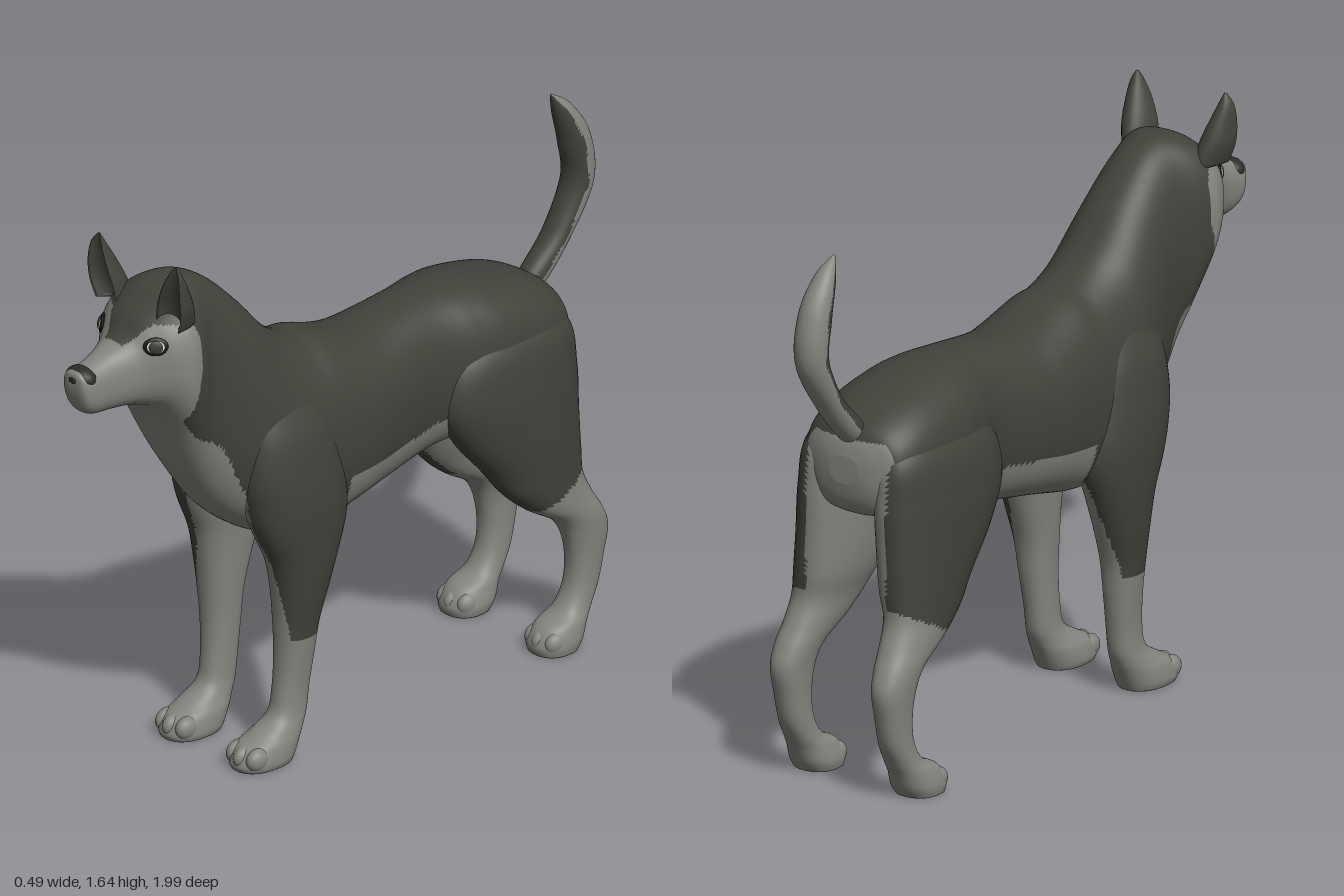
import * as THREE from 'three';

const paint = (name, color) => Object.assign(new THREE.MeshStandardMaterial({ color }), { name });
const DARK = 0, LIGHT = 1;

// Catmull-Rom sample of a table of section rows, u in 0..1
function sample(rows, u) {
  const f = u * (rows.length - 1), i = Math.min(Math.floor(f), rows.length - 2), t = f - i;
  const at = (k) => rows[Math.max(0, Math.min(rows.length - 1, k))];
  const [a, b, c, d] = [at(i - 1), at(i), at(i + 1), at(i + 2)];
  return b.map((_, k) => 0.5 * (2 * b[k] + (c[k] - a[k]) * t
    + (2 * a[k] - 5 * b[k] + 4 * c[k] - d[k]) * t * t
    + (3 * b[k] - a[k] - 3 * c[k] + d[k]) * t * t * t));
}

const soft = (v, e) => Math.sign(v) * Math.pow(Math.abs(v), e);

// Closed smooth skin through the sections; colourOf(x, y, z) picks the material of each face
function loft(name, rows, along, around, point, colourOf, materials) {
  const pos = [], faces = [];
  for (let i = 0; i <= along; i++) {
    const row = sample(rows, i / along);
    for (let j = 0; j < around; j++) {
      const a = (j / around) * Math.PI * 2;
      pos.push(...point(row, Math.cos(a), Math.sin(a)));
    }
  }
  const id = (i, j) => i * around + (j % around);
  for (let i = 0; i < along; i++) for (let j = 0; j < around; j++) {
    faces.push([id(i, j), id(i, j + 1), id(i + 1, j)], [id(i, j + 1), id(i + 1, j + 1), id(i + 1, j)]);
  }
  // end caps
  for (const i of [0, along]) {
    const c = [0, 0, 0], n = pos.length / 3;
    for (let j = 0; j < around; j++) for (let k = 0; k < 3; k++) c[k] += pos[id(i, j) * 3 + k] / around;
    pos.push(...c);
    for (let j = 0; j < around; j++) faces.push(i ? [id(i, j), id(i, j + 1), n] : [id(i, j + 1), id(i, j), n]);
  }
  const v = (k) => new THREE.Vector3().fromArray(pos, k * 3);
  let volume = 0;
  const sorted = materials.map(() => []);
  for (const f of faces) {
    const [a, b, c] = f.map(v);
    volume += a.dot(b.clone().cross(c));
    const m = a.add(b).add(c).divideScalar(3);
    sorted[colourOf(Math.abs(m.x), m.y, m.z)].push(f);
  }
  // outward winding whichever way the sections run
  if (volume < 0) faces.forEach((f) => f.reverse());
  const g = new THREE.BufferGeometry();
  g.setAttribute('position', new THREE.Float32BufferAttribute(pos, 3));
  g.setIndex(sorted.flat(2));
  let start = 0;
  sorted.forEach((list, k) => { g.addGroup(start, list.length * 3, k); start += list.length * 3; });
  g.computeVertexNormals();
  const mesh = new THREE.Mesh(g, materials);
  mesh.name = name;
  return mesh;
}

// Body, neck and head: z, bottom, top, half width, taper towards the top
const BODY = [
  [-0.80, 0.90, 0.98, 0.05, 0], [-0.785, 0.84, 1.03, 0.11, 0], [-0.75, 0.80, 1.075, 0.17, 0],
  [-0.65, 0.78, 1.125, 0.2, 0], [-0.5, 0.74, 1.16, 0.205, 0], [-0.4, 0.71, 1.17, 0.19, 0],
  [-0.28, 0.695, 1.165, 0.165, 0], [-0.1, 0.665, 1.145, 0.185, 0], [0, 0.645, 1.155, 0.198, 0],
  [0.12, 0.62, 1.195, 0.2, 0.05], [0.2, 0.62, 1.21, 0.2, 0.1], [0.3, 0.64, 1.275, 0.195, 0.18],
  [0.4, 0.685, 1.385, 0.18, 0.18], [0.5, 0.77, 1.48, 0.155, 0.08], [0.58, 0.875, 1.525, 0.148, 0],
  [0.64, 0.975, 1.53, 0.165, -0.05], [0.69, 1.09, 1.515, 0.176, 0], [0.74, 1.165, 1.48, 0.155, 0],
  [0.78, 1.185, 1.45, 0.12, 0], [0.82, 1.195, 1.405, 0.088, 0], [0.88, 1.2, 1.375, 0.063, 0],
  [0.94, 1.205, 1.355, 0.053, 0], [0.975, 1.225, 1.35, 0.05, 0], [0.993, 1.27, 1.345, 0.038, 0],
  [0.998, 1.3, 1.335, 0.02, 0],
];
const bodyPoint = ([z, lo, hi, w, k], c, s) =>
  [w * soft(c, 0.82) * (1 - k * s), (lo + hi) / 2 + (hi - lo) / 2 * soft(s, 0.82), z];

function bodyColour(x, y, z) {
  const hairline = Math.min(1.445, 1.385 + Math.max(0, x - 0.035) * 1.3);
  const cheek = 0.66 + Math.max(0, 1.3 - y) * 0.2 + Math.max(0, y - 1.4) * 0.4;
  if (z > cheek && y > 1.08) return y < hairline || z > 0.84 ? LIGHT : DARK;
  if (z > 0.36 && y < 1.25) return x < 0.14 - Math.max(0, y - 1) * 0.12 ? LIGHT : DARK;
  if (z > 0.11) return y < 0.78 && x < 0.14 ? LIGHT : DARK;
  if (z > -0.5) return y < 0.795 + 0.03 * Math.min(1, Math.max(0, -z / 0.25)) ? LIGHT : DARK;
  if (z < -0.765) return y < 1.03 ? LIGHT : DARK;
  return y < 0.86 && x < 0.13 ? LIGHT : DARK;
}

// Limbs and ears: y, back z, front z, inner x, outer x
const FRONT_LEG = [
  [1.12, 0.22, 0.42, 0.08, 0.15], [1.0, 0.16, 0.455, 0.03, 0.212], [0.88, 0.13, 0.465, 0.03, 0.235],
  [0.78, 0.11, 0.45, 0.04, 0.242], [0.7, 0.115, 0.425, 0.06, 0.24], [0.6, 0.15, 0.38, 0.075, 0.234],
  [0.5, 0.185, 0.36, 0.085, 0.224], [0.4, 0.215, 0.35, 0.092, 0.21], [0.3, 0.227, 0.347, 0.098, 0.197],
  [0.2, 0.24, 0.353, 0.1, 0.187], [0.13, 0.25, 0.37, 0.098, 0.188], [0.09, 0.265, 0.43, 0.088, 0.198],
  [0.06, 0.28, 0.485, 0.075, 0.208], [0.02, 0.3, 0.506, 0.07, 0.213], [0, 0.31, 0.5, 0.075, 0.208],
];
const HIND_LEG = [
  [1.08, -0.68, -0.45, 0.05, 0.13], [0.98, -0.77, -0.33, 0.04, 0.215], [0.85, -0.79, -0.29, 0.03, 0.237],
  [0.72, -0.79, -0.35, 0.04, 0.24], [0.6, -0.79, -0.45, 0.06, 0.238], [0.52, -0.79, -0.51, 0.085, 0.236],
  [0.45, -0.82, -0.59, 0.1, 0.234], [0.39, -0.855, -0.685, 0.115, 0.232], [0.33, -0.875, -0.725, 0.125, 0.228],
  [0.25, -0.86, -0.742, 0.13, 0.222], [0.17, -0.84, -0.735, 0.13, 0.22], [0.11, -0.81, -0.7, 0.125, 0.225],
  [0.075, -0.79, -0.635, 0.115, 0.238], [0.03, -0.77, -0.607, 0.105, 0.247], [0, -0.75, -0.612, 0.11, 0.243],
];
const EAR = [
  [1.44, 0.65, 0.75, 0.08, 0.165], [1.5, 0.672, 0.757, 0.088, 0.184], [1.56, 0.7, 0.762, 0.11, 0.184],
  [1.61, 0.727, 0.758, 0.133, 0.176], [1.64, 0.744, 0.75, 0.15, 0.157],
];
const limbPoint = (side) => ([y, z0, z1, x0, x1], c, s) =>
  [side * ((x0 + x1) / 2 + (x1 - x0) / 2 * soft(c, 0.88)), y, (z0 + z1) / 2 + (z1 - z0) / 2 * soft(s, 0.88)];
// crescent section, hollow towards the front
const earPoint = (side) => ([y, z0, z1, x0, x1], c, s) =>
  [side * ((x0 + x1) / 2 + (x1 - x0) / 2 * c), y, z1 - (z1 - z0) * Math.abs(s) * (s < 0 ? 1 : 0.45)];

const frontLegColour = (x, y) =>
  y < 0.36 || x < 0.135 + 0.05 * Math.min(1, Math.max(0, (0.7 - y) / 0.3)) ? LIGHT : DARK;
const hindLegColour = (x, y, z) =>
  y < 0.455 + Math.max(0, -0.6 - z) * 0.5 || (x < 0.125 && y < 0.9) || (z < -0.77 && x < 0.14) ? LIGHT : DARK;

// Tail: y, z, thickness, half width, lean of the section
const TAIL = [
  [1.0, -0.7, 0.03, 0.035, 0.7], [1.06, -0.775, 0.04, 0.042, 0.75], [1.16, -0.866, 0.036, 0.045, 0.65],
  [1.3, -0.943, 0.045, 0.05, 0.2], [1.43, -0.93, 0.048, 0.048, -0.25], [1.53, -0.884, 0.03, 0.032, -0.5],
  [1.588, -0.843, 0.003, 0.004, -0.6],
];
const tailPoint = ([y, z, r, w, lean], c, s) => [w * c, y + r * s * Math.sin(lean), z + r * s * Math.cos(lean)];
const tailColour = (x, y, z) => {
  const u = TAIL.findIndex((r) => r[0] > y), i = Math.max(1, u < 0 ? TAIL.length - 1 : u);
  const [a, b] = [TAIL[i - 1], TAIL[i]];
  return z > a[1] + (b[1] - a[1]) * (y - a[0]) / (b[0] - a[0]) ? DARK : LIGHT;
};

export function createModel() {
  const coat = [paint('dark fur', 0x42423b), paint('light fur', 0x84857e)];
  const noseSkin = paint('nose skin', 0x2c2c28), rim = paint('eye rim', 0x161614);
  const white = paint('eye white', 0xd8d8d2), iris = paint('iris', 0x3a3b38);
  const dog = new THREE.Group();
  dog.name = 'dog';

  const ball = new THREE.SphereGeometry(1, 24, 16);
  const blob = (name, material, parent, p, s) => {
    const m = new THREE.Mesh(ball, material);
    m.name = name;
    m.position.set(...p);
    m.scale.set(...s);
    parent.add(m);
  };

  dog.add(loft('bodyAndHead', BODY, 220, 96, bodyPoint, bodyColour, coat));
  dog.add(loft('tail', TAIL, 60, 32, tailPoint, tailColour, coat));
  blob('nose', noseSkin, dog, [0, 1.322, 0.964], [0.05, 0.033, 0.036]);

  for (const side of [1, -1]) {
    const label = side > 0 ? 'left' : 'right';
    dog.add(loft(label + 'FrontLeg', FRONT_LEG, 110, 48, limbPoint(side), frontLegColour, coat));
    dog.add(loft(label + 'HindLeg', HIND_LEG, 110, 48, limbPoint(side), hindLegColour, coat));
    dog.add(loft(label + 'Ear', EAR, 24, 32, earPoint(side), () => DARK, coat));

    // toes along the front edge of each paw
    for (const [x, z] of [[0.142, 0.47], [0.176, -0.645]]) {
      for (const k of [-1, 0, 1]) {
        blob('toe', coat[LIGHT], dog, [side * (x + k * 0.04), 0.036, z - Math.abs(k) * 0.012], [0.026, 0.034, 0.04]);
      }
    }

    // eye facing out and forward
    const eye = new THREE.Group();
    eye.name = label + 'Eye';
    eye.position.set(side * 0.108, 1.39, 0.78);
    eye.lookAt(side * (0.108 + 0.72), 1.39 + 0.15, 0.78 + 0.68);
    blob('eyeRim', rim, eye, [0, 0, 0], [0.036, 0.027, 0.008]);
    blob('eyeWhite', white, eye, [0, 0, 0.003], [0.027, 0.02, 0.0075]);
    blob('iris', iris, eye, [0, 0, 0.006], [0.021, 0.019, 0.007]);
    dog.add(eye);
  }
  return dog;
}
